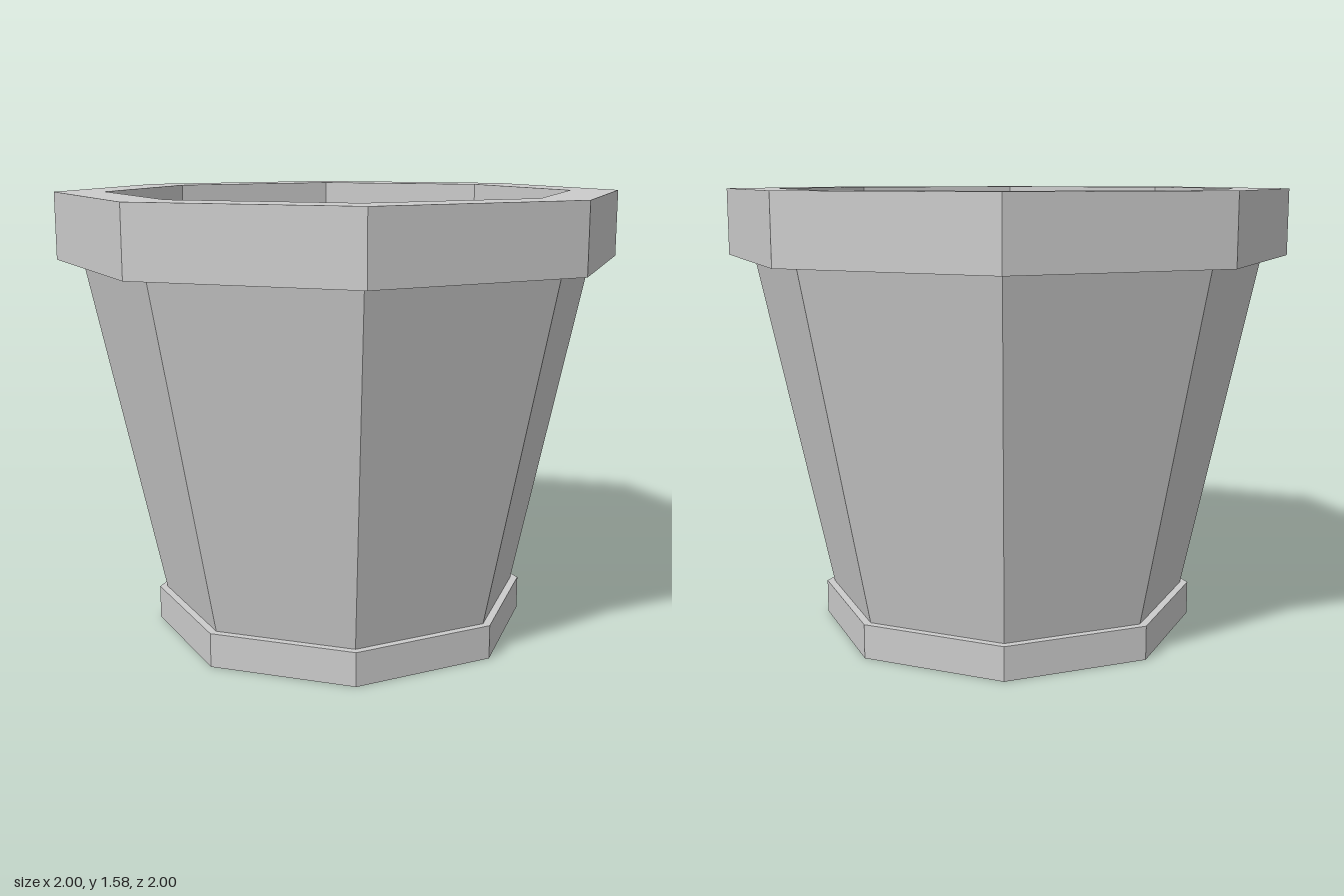
import * as THREE from 'three';

const SIDES = 8;
const material = new THREE.MeshStandardMaterial({ color: 0xcccccc, flatShading: true });

// Revolve [radius, height] points into a faceted octagonal surface.
// Outside profiles run upward, inside profiles run downward.
function octagonal(name, profile) {
  const points = profile.map(([r, y]) => new THREE.Vector2(r, y));
  const geometry = new THREE.LatheGeometry(points, SIDES).toNonIndexed();
  geometry.computeVertexNormals();
  const mesh = new THREE.Mesh(geometry, material);
  mesh.name = name;
  return mesh;
}

export function createModel() {
  const group = new THREE.Group();
  group.name = 'flowerPot';

  const footTop = 0.12, floorTop = 0.265, rimBottom = 1.34, rimTop = 1.575;
  const holeRadius = 0.177, floorRadius = 0.586, mouthRadius = 0.825;

  group.add(
    // Raised foot ring with a recess underneath
    octagonal('foot', [[0.567, footTop], [0.567, 0], [0.676, 0], [0.676, footTop], [0.645, footTop]]),
    // Tapered outer wall
    octagonal('outerWall', [[0.648, footTop], [0.91, rimBottom]]),
    // Thick overhanging rim, with its straight inner lip
    octagonal('rim', [[0.91, rimBottom], [1, rimBottom], [1, rimTop], [mouthRadius, rimTop], [mouthRadius, 1.395]]),
    // Tapered inner wall
    octagonal('innerWall', [[mouthRadius, 1.395], [floorRadius, floorTop]]),
    // Floor slab with the drainage hole through it
    octagonal('floor', [[floorRadius, floorTop], [holeRadius, floorTop], [holeRadius, footTop], [0.567, footTop]])
  );
  return group;
}
